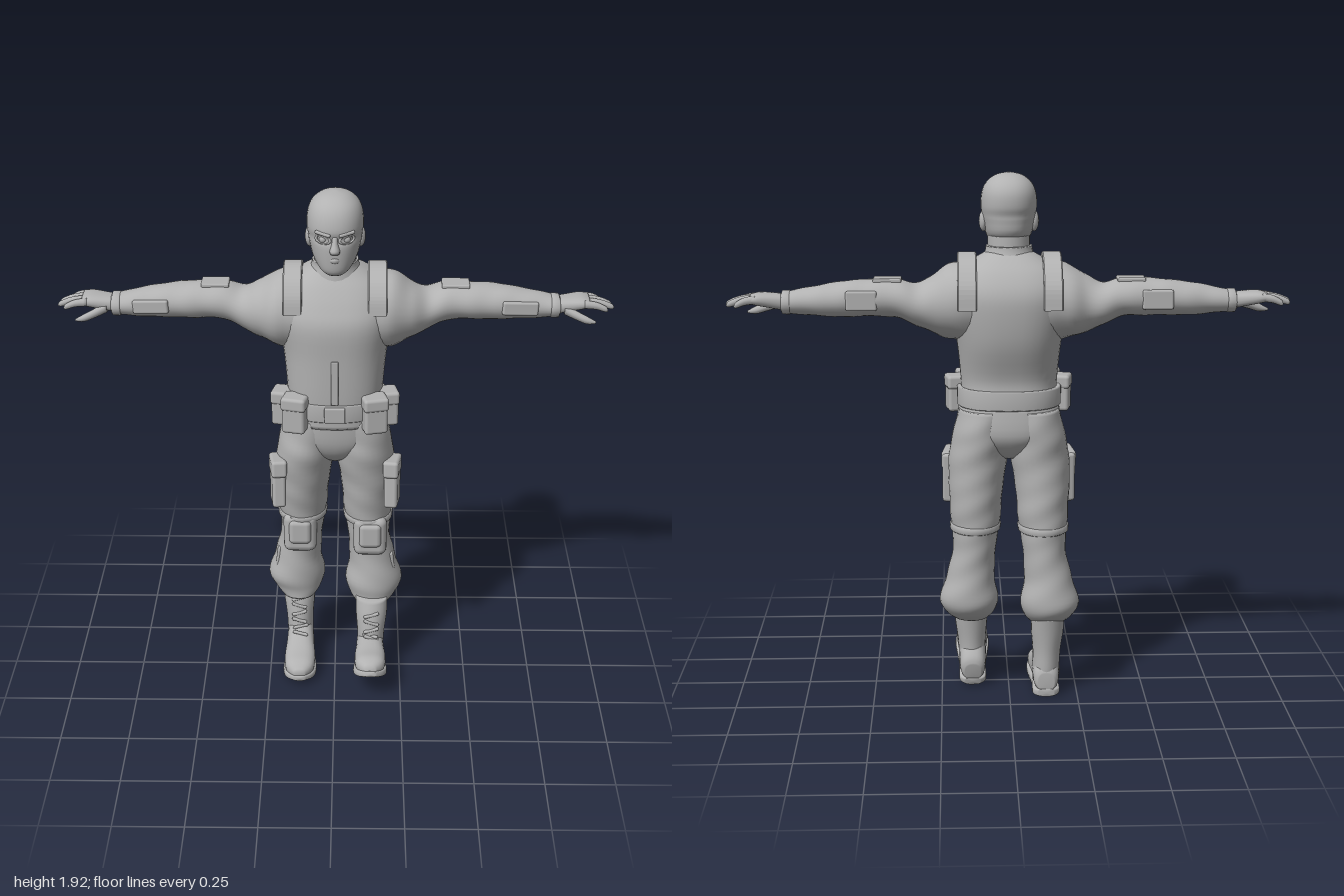
import * as THREE from 'three';
import { RoundedBoxGeometry } from 'three/addons/geometries/RoundedBoxGeometry.js';

const grey = new THREE.MeshStandardMaterial({ color: 0xb2b2b2 });
grey.name = 'plain grey';

function add(parent, name, geometry, x = 0, y = 0, z = 0, rx = 0, ry = 0, rz = 0) {
  const mesh = new THREE.Mesh(geometry, grey);
  mesh.name = name;
  mesh.position.set(x, y, z);
  mesh.rotation.set(rx, ry, rz);
  parent.add(mesh);
  return mesh;
}

const box = (w, h, d, r = 0.012) => new RoundedBoxGeometry(w, h, d, 2, Math.min(r, w / 2.1, h / 2.1, d / 2.1));

// Smooth skin over rings. Each ring is [along, a, b, radiusA, radiusB];
// (along, a, b) is (x, y, z), (y, z, x) or (z, x, y) depending on the axis.
function loft(axis, rings, { n = 24, steps = 4, power = 2, fold = 0 } = {}) {
  if (rings[0][0] > rings[rings.length - 1][0]) rings = [...rings].reverse();
  const at = i => rings[Math.max(0, Math.min(rings.length - 1, i))];
  const pos = [], index = [], k = { x: 0, y: 1, z: 2 }[axis];
  const put = (h, a, b) => {
    const p = [];
    p[k] = h; p[(k + 1) % 3] = a; p[(k + 2) % 3] = b;
    pos.push(...p);
  };
  const bend = (v, e) => Math.sign(v) * Math.abs(v) ** e;
  const count = (rings.length - 1) * steps;
  for (let i = 0; i <= count; i++) {
    const s = Math.min(Math.floor(i / steps), rings.length - 2), t = i / steps - s;
    const [h, a, b, ra, rb] = at(s).map((p1, c) => {
      const p0 = at(s - 1)[c], p2 = at(s + 1)[c], p3 = at(s + 2)[c];
      return p1 + 0.5 * t * (p2 - p0 + t * (2 * p0 - 5 * p1 + 4 * p2 - p3 + t * (3 * (p1 - p2) + p3 - p0)));
    });
    for (let j = 0; j < n; j++) {
      const q = j / n * Math.PI * 2;
      const f = 1 + fold * (Math.sin(h * 62 + 3 * Math.sin(q)) + 0.7 * Math.sin(h * 35 - 2 * q));
      put(h, a + ra * f * bend(Math.cos(q), 2 / power), b + rb * f * bend(Math.sin(q), 2 / power));
    }
  }
  for (let i = 0; i < count; i++) for (let j = 0; j < n; j++) {
    const m = (j + 1) % n, a = i * n + j, b = i * n + m;
    index.push(a, b, b + n, a, b + n, a + n);
  }
  const first = rings[0], last = at(rings.length), c = pos.length / 3;
  put(first[0], first[1], first[2]);
  put(last[0], last[1], last[2]);
  for (let j = 0; j < n; j++) {
    const m = (j + 1) % n;
    index.push(c, m, j, c + 1, count * n + j, count * n + m);
  }
  const g = new THREE.BufferGeometry();
  g.setAttribute('position', new THREE.Float32BufferAttribute(pos, 3));
  g.setIndex(index);
  g.computeVertexNormals();
  return g;
}

function makeHead() {
  const head = new THREE.Group();
  head.name = 'head';
  add(head, 'maskedHead', loft('y', [
    [1.642, 0.022, 0, 0.03, 0.03], [1.66, 0.005, 0, 0.06, 0.054], [1.7, -0.035, 0, 0.106, 0.08],
    [1.75, -0.042, 0, 0.115, 0.092], [1.775, -0.047, 0, 0.113, 0.096], [1.805, -0.048, 0, 0.121, 0.1],
    [1.85, -0.052, 0, 0.115, 0.096], [1.885, -0.053, 0, 0.094, 0.08],
    [1.91, -0.053, 0, 0.056, 0.048], [1.92, -0.053, 0, 0.008, 0.008]], { n: 32, power: 2.15 }));
  add(head, 'nose', loft('y', [[1.728, 0.07, 0, 0.012, 0.015], [1.74, 0.073, 0, 0.02, 0.018],
    [1.765, 0.068, 0, 0.014, 0.011], [1.79, 0.063, 0, 0.008, 0.009]], { n: 12 }));
  add(head, 'lips', loft('x', [[-0.032, 1.702, 0.052, 0.003, 0.006], [0, 1.704, 0.068, 0.011, 0.009],
    [0.032, 1.702, 0.052, 0.003, 0.006]], { n: 10 }));
  add(head, 'chin', new THREE.SphereGeometry(0.026, 14, 10), 0, 1.667, 0.04);
  for (const s of [-1, 1]) {
    const socket = add(head, 'eyeOpening', new THREE.TorusGeometry(0.027, 0.005, 8, 20), s * 0.041, 1.777, 0.056, -0.05, s * 0.42, s * 0.12);
    socket.scale.y = 0.55;
    add(head, 'eye', new THREE.SphereGeometry(0.015, 12, 8), s * 0.04, 1.776, 0.048);
    add(head, 'brow', box(0.058, 0.012, 0.014, 0.005), s * 0.042, 1.799, 0.061, 0, s * 0.42, s * 0.16);
    const ear = add(head, 'earCover', new THREE.SphereGeometry(0.03, 14, 10), s * 0.09, 1.75, -0.06);
    ear.scale.set(0.55, 1.25, 0.9);
  }
  add(head, 'collar', loft('y', [[1.56, -0.085, 0, 0.11, 0.12], [1.61, -0.078, 0, 0.094, 0.1],
    [1.645, -0.073, 0, 0.085, 0.085], [1.665, -0.07, 0, 0.084, 0.082]]));
  add(head, 'neck', loft('y', [[1.63, -0.065, 0, 0.078, 0.075], [1.72, -0.06, 0, 0.082, 0.075]]));
  return head;
}

function makeTorso() {
  const torso = new THREE.Group();
  torso.name = 'torso';
  add(torso, 'vest', loft('y', [
    [1.06, -0.062, 0, 0.143, 0.172], [1.13, -0.06, 0, 0.145, 0.172], [1.2, -0.057, 0, 0.146, 0.175],
    [1.33, -0.077, 0, 0.17, 0.188], [1.45, -0.083, 0, 0.18, 0.21], [1.52, -0.092, 0, 0.164, 0.21],
    [1.58, -0.093, 0, 0.13, 0.18], [1.62, -0.088, 0, 0.095, 0.125], [1.645, -0.08, 0, 0.07, 0.08]],
  { n: 40, power: 2.4 }));
  add(torso, 'pelvis', loft('y', [[0.9, -0.06, 0, 0.07, 0.04], [0.94, -0.066, 0, 0.115, 0.12],
    [1.0, -0.07, 0, 0.142, 0.188], [1.1, -0.062, 0, 0.142, 0.178]], { n: 32, power: 2.3 }));
  add(torso, 'belt', loft('y', [[1.09, -0.062, 0, 0.148, 0.182], [1.095, -0.062, 0, 0.153, 0.188],
    [1.155, -0.06, 0, 0.153, 0.188], [1.16, -0.06, 0, 0.148, 0.182]], { n: 32, power: 2.3, steps: 1 }));
  add(torso, 'buckle', box(0.075, 0.058, 0.018, 0.005), 0, 1.125, 0.093);
  add(torso, 'frontPlacket', box(0.026, 0.17, 0.012, 0.004), 0, 1.25, 0.094);
  // Arched straps over both shoulders
  const arch = new THREE.Shape();
  arch.moveTo(0.058, 1.5);
  arch.splineThru([[0.045, 1.56], [0, 1.615], [-0.08, 1.638], [-0.17, 1.612], [-0.235, 1.54], [-0.25, 1.46]].map(p => new THREE.Vector2(...p)));
  arch.lineTo(-0.2, 1.46);
  arch.lineTo(-0.08, 1.58);
  arch.lineTo(0.03, 1.5);
  const strap = new THREE.ExtrudeGeometry(arch, { depth: 0.06, bevelSize: 0.004, bevelThickness: 0.004, bevelSegments: 1, curveSegments: 5 });
  strap.rotateY(-Math.PI / 2).translate(0.03, 0, 0);
  for (const s of [-1, 1]) {
    add(torso, 'shoulderStrap', strap, s * 0.15, 0, 0);
    add(torso, 'frontBeltPouch', box(0.085, 0.13, 0.075), s * 0.142, 1.12, 0.07, 0, s * 0.25);
    add(torso, 'frontPouchFlap', box(0.092, 0.05, 0.082), s * 0.142, 1.168, 0.07, 0, s * 0.25);
    add(torso, 'sideBeltPouch', box(0.065, 0.12, 0.08), s * 0.192, 1.115, -0.005, 0, s * 0.2);
    add(torso, 'sidePouchFlap', box(0.072, 0.05, 0.087), s * 0.192, 1.162, -0.005, 0, s * 0.2);
  }
  return torso;
}

function makeArm(s) {
  const arm = new THREE.Group();
  arm.name = s > 0 ? 'leftArm' : 'rightArm';
  const skin = (name, rings, options) => add(arm, name, loft('x', rings.map(([x, ...rest]) => [s * x, ...rest]), options));
  skin('sleeve', [[0.1, 1.47, -0.09, 0.145, 0.145], [0.2, 1.47, -0.092, 0.136, 0.145], [0.27, 1.462, -0.1, 0.103, 0.116],
    [0.33, 1.462, -0.115, 0.076, 0.095], [0.4, 1.486, -0.12, 0.069, 0.083], [0.5, 1.487, -0.12, 0.066, 0.078],
    [0.6, 1.482, -0.122, 0.062, 0.073], [0.7, 1.476, -0.118, 0.051, 0.061], [0.78, 1.471, -0.114, 0.039, 0.053]],
  { n: 28, steps: 6, fold: 0.016 });
  skin('gloveCuff', [[0.77, 1.471, -0.114, 0.036, 0.052], [0.775, 1.471, -0.114, 0.043, 0.058],
    [0.8, 1.471, -0.114, 0.042, 0.055], [0.805, 1.471, -0.114, 0.032, 0.045]], { steps: 1 });
  skin('palm', [[0.79, 1.472, -0.116, 0.029, 0.043], [0.83, 1.478, -0.12, 0.027, 0.05],
    [0.88, 1.485, -0.125, 0.023, 0.058], [0.91, 1.485, -0.125, 0.016, 0.055]], { power: 2.5 });
  // Four fingers, from the front one to the back one
  [0.975, 1, 0.995, 0.965].forEach((tip, i) => {
    const z = -0.08 - i * 0.029, reach = tip - 0.89;
    skin('finger', [[0.89, 1.487, z, 0.015, 0.014], [0.89 + reach * 0.5, 1.482, z - 0.002, 0.014, 0.013],
      [0.89 + reach * 0.9, 1.469, z - 0.002, 0.011, 0.01], [tip, 1.465, z - 0.002, 0.003, 0.003]], { n: 10, steps: 3 });
  });
  skin('thumb', [[0.82, 1.466, -0.092, 0.02, 0.024], [0.86, 1.45, -0.072, 0.017, 0.018],
    [0.9, 1.435, -0.06, 0.014, 0.014], [0.932, 1.428, -0.056, 0.004, 0.004]], { n: 12 });
  add(arm, 'forearmPlate', box(0.13, 0.05, 0.02, 0.008), s * 0.66, 1.48, -0.056, 0, s * 0.12, -s * 0.06);
  add(arm, 'elbowPatch', box(0.11, 0.07, 0.02, 0.008), s * 0.52, 1.485, -0.191);
  add(arm, 'sleevePocket', box(0.1, 0.016, 0.08, 0.006), s * 0.43, 1.55, -0.12);
  return arm;
}

function makeLeg(s, back) {
  const leg = new THREE.Group();
  leg.name = s > 0 ? 'leftLeg' : 'rightLeg';
  // The trailing leg drifts backwards below the hip
  const shift = y => -back * THREE.MathUtils.clamp((0.9 - y) / 0.6, 0, 1);
  const skin = (name, rings, options) => add(leg, name,
    loft('y', rings.map(([y, z, x, rz, rx]) => [y, z + shift(y), s * x, rz, rx]), options));
  skin('trouserLeg', [[1.08, -0.068, 0.085, 0.138, 0.095], [1, -0.071, 0.1, 0.142, 0.1], [0.92, -0.068, 0.11, 0.135, 0.107],
    [0.8, -0.076, 0.12, 0.121, 0.1], [0.7, -0.082, 0.122, 0.11, 0.093], [0.62, -0.084, 0.124, 0.1, 0.085],
    [0.55, -0.084, 0.128, 0.095, 0.079], [0.45, -0.084, 0.142, 0.094, 0.088], [0.36, -0.082, 0.148, 0.101, 0.108],
    [0.31, -0.07, 0.144, 0.085, 0.09], [0.275, -0.045, 0.14, 0.06, 0.06]], { n: 30, steps: 5, fold: 0.012 });
  skin('kneeStrap', [[0.625, -0.084, 0.124, 0.1, 0.085], [0.63, -0.084, 0.124, 0.108, 0.092],
    [0.65, -0.083, 0.123, 0.109, 0.094], [0.655, -0.083, 0.123, 0.1, 0.086]], { steps: 1 });
  add(leg, 'kneePad', box(0.125, 0.16, 0.06, 0.03), s * 0.132, 0.58, -0.005 + shift(0.58));
  add(leg, 'kneeCap', box(0.085, 0.1, 0.04, 0.02), s * 0.132, 0.59, 0.015 + shift(0.59));
  add(leg, 'cargoPocket', box(0.05, 0.185, 0.105), s * 0.212, 0.812, -0.005, -0.08, s * -0.15);
  add(leg, 'cargoFlap', box(0.058, 0.065, 0.112), s * 0.211, 0.878, 0.002, -0.08, s * -0.15);
  add(leg, 'shinPocket', box(0.025, 0.09, 0.06, 0.008), s * 0.213, 0.44, -0.06 + shift(0.44), 0, 0, s * 0.12);

  // Boot: upright shaft, then a foot built from the heel forwards
  const heel = s > 0 ? -0.052 : -0.175, pitch = s > 0 ? -0.29 : -0.02;
  add(leg, 'bootShaft', loft('y', [[0.31, heel + 0.035, s * 0.14, 0.06, 0.06], [0.25, heel + 0.05, s * 0.14, 0.064, 0.06],
    [0.17, heel + 0.062, s * 0.138, 0.065, 0.052], [0.1, heel + 0.066, s * 0.136, 0.066, 0.05],
    [0.05, heel + 0.06, s * 0.135, 0.055, 0.048]]));
  const foot = new THREE.Group();
  foot.name = 'foot';
  foot.position.set(s * 0.135, s > 0 ? 0.006 : 0.002, heel);
  foot.rotation.x = pitch;
  leg.add(foot);
  add(foot, 'bootUpper', loft('z', [[0, 0, 0.055, 0.03, 0.035], [0.02, 0, 0.068, 0.046, 0.052], [0.09, 0, 0.085, 0.05, 0.07],
    [0.16, 0, 0.07, 0.054, 0.056], [0.23, 0, 0.057, 0.059, 0.042], [0.29, 0, 0.05, 0.052, 0.034],
    [0.325, 0, 0.042, 0.02, 0.015]], { power: 2.4 }));
  add(foot, 'sole', loft('z', [[-0.004, 0, 0.016, 0.028, 0.014], [0.02, 0, 0.016, 0.05, 0.016], [0.1, 0, 0.018, 0.05, 0.016],
    [0.23, 0, 0.018, 0.064, 0.016], [0.295, 0, 0.022, 0.054, 0.015], [0.332, 0, 0.028, 0.02, 0.01]], { power: 4 }));
  for (let i = 0; i < 3; i++) add(foot, 'footLace', box(0.062, 0.012, 0.012, 0.005), 0, 0.152 - i * 0.012, 0.1 + i * 0.032, 0.3, i % 2 ? 0.3 : -0.3);
  for (let i = 0; i < 4; i++) add(leg, 'shaftLace', box(0.06, 0.012, 0.014, 0.005), s * 0.139, 0.17 + i * 0.03, heel + 0.126 - i * 0.006, 0, 0, i % 2 ? 0.3 : -0.3);
  return leg;
}

export function createModel() {
  const figure = new THREE.Group();
  figure.name = 'standingSoldier';
  figure.add(makeHead(), makeTorso(), makeArm(1), makeArm(-1), makeLeg(1, 0), makeLeg(-1, 0.05));
  return figure;
}
